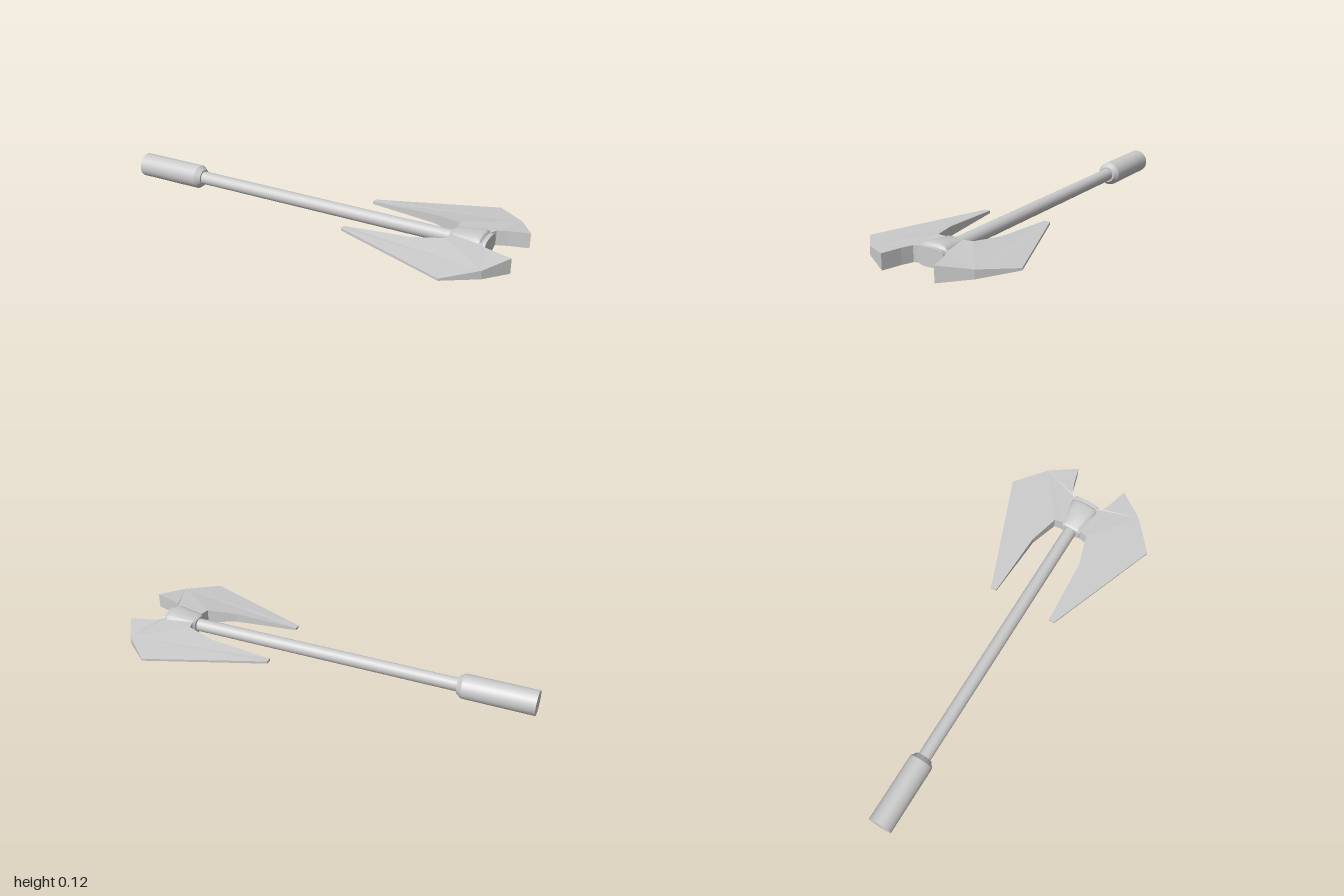
import * as THREE from 'three';
import { toCreasedNormals } from 'three/addons/utils/BufferGeometryUtils.js';

const CY = 0.061; // height of the shaft axis
const smooth = new THREE.MeshStandardMaterial({ color: 0xcccccc });
const flat = new THREE.MeshStandardMaterial({ color: 0xcccccc, flatShading: true });

function add(group, name, geometry, material) {
  const mesh = new THREE.Mesh(geometry, material);
  mesh.name = name;
  group.add(mesh);
}

function build(positions, index) {
  const g = new THREE.BufferGeometry();
  g.setAttribute('position', new THREE.Float32BufferAttribute(positions, 3));
  g.setIndex(index);
  g.computeVertexNormals();
  return g;
}

// Round part turned about the shaft axis; profile is [radius, x]
function turned(profile, sides) {
  const g = new THREE.LatheGeometry(profile.map(([r, x]) => new THREE.Vector2(r, x)), sides);
  g.rotateZ(-Math.PI / 2).translate(0, CY, 0);
  return toCreasedNormals(g, 0.6);
}

// Rounded-box sections [x, halfDepth, halfHeight] joined along x, closed at both ends
function lofted(sections, n = 24) {
  const pos = [], idx = [];
  const soft = v => Math.sign(v) * Math.pow(Math.abs(v), 0.65);
  for (const [x, hz, hy] of sections) {
    for (let i = 0; i < n; i++) {
      const a = (i / n) * Math.PI * 2;
      pos.push(x, CY + hy * soft(Math.sin(a)), hz * soft(Math.cos(a)));
    }
  }
  for (let s = 0; s < sections.length - 1; s++) {
    for (let i = 0; i < n; i++) {
      const a = s * n + i, b = s * n + (i + 1) % n;
      idx.push(a, a + n, b, b, a + n, b + n);
    }
  }
  const last = (sections.length - 1) * n;
  for (let i = 1; i < n - 1; i++) {
    idx.push(0, i, i + 1, last, last + i + 1, last + i);
  }
  return toCreasedNormals(build(pos, idx), 0.5);
}

// Blade outline [x, z, halfThickness]; both faces fan out from the first corner
const outline = [
  [0.92, 0.26, 0.02], [1.0, 0.13, 0.036], [0.91, 0.105, 0.036], [0.86, 0.085, 0.036],
  [0.84, 0.04, 0.036], [0.7, 0.04, 0.036], [0.69, 0.088, 0.034], [0.55, 0.13, 0.022],
  [0.23, 0.147, 0.006], [0.23, 0.175, 0.006], [0.78, 0.383, 0.005],
];

function blade(side) {
  const n = outline.length, pos = [], idx = [];
  for (const s of [1, -1]) {
    for (const [x, z, h] of outline) pos.push(x, CY + s * h, z * side);
  }
  const tri = (a, b, c) => (side > 0 ? idx.push(a, b, c) : idx.push(a, c, b));
  for (let i = 1; i < n - 1; i++) {
    tri(0, i, i + 1);
    tri(n, n + i + 1, n + i);
  }
  for (let i = 0; i < n; i++) {
    const j = (i + 1) % n;
    tri(i, n + i, j);
    tri(j, n + i, n + j);
  }
  return build(pos, idx);
}

export function createModel() {
  const group = new THREE.Group();
  group.name = 'doubleAxe';

  add(group, 'grip', turned([
    [0, -1], [0.058, -1], [0.058, -0.665], [0.04, -0.64], [0, -0.64],
  ], 24), smooth);
  add(group, 'shaft', turned([[0, -0.66], [0.032, -0.66], [0.032, 0.72], [0, 0.72]], 16), smooth);

  // Head socket, widest just behind the end cap
  add(group, 'socket', lofted([
    [0.69, 0.045, 0.036], [0.7, 0.058, 0.042], [0.78, 0.068, 0.05],
    [0.82, 0.074, 0.056], [0.835, 0.074, 0.053], [0.845, 0.062, 0.038],
  ]), smooth);
  add(group, 'endCap', lofted([[0.835, 0.066, 0.039], [0.85, 0.07, 0.042], [0.862, 0.07, 0.042]]), smooth);

  add(group, 'bladeFront', blade(1), flat);
  add(group, 'bladeBack', blade(-1), flat);
  return group;
}
